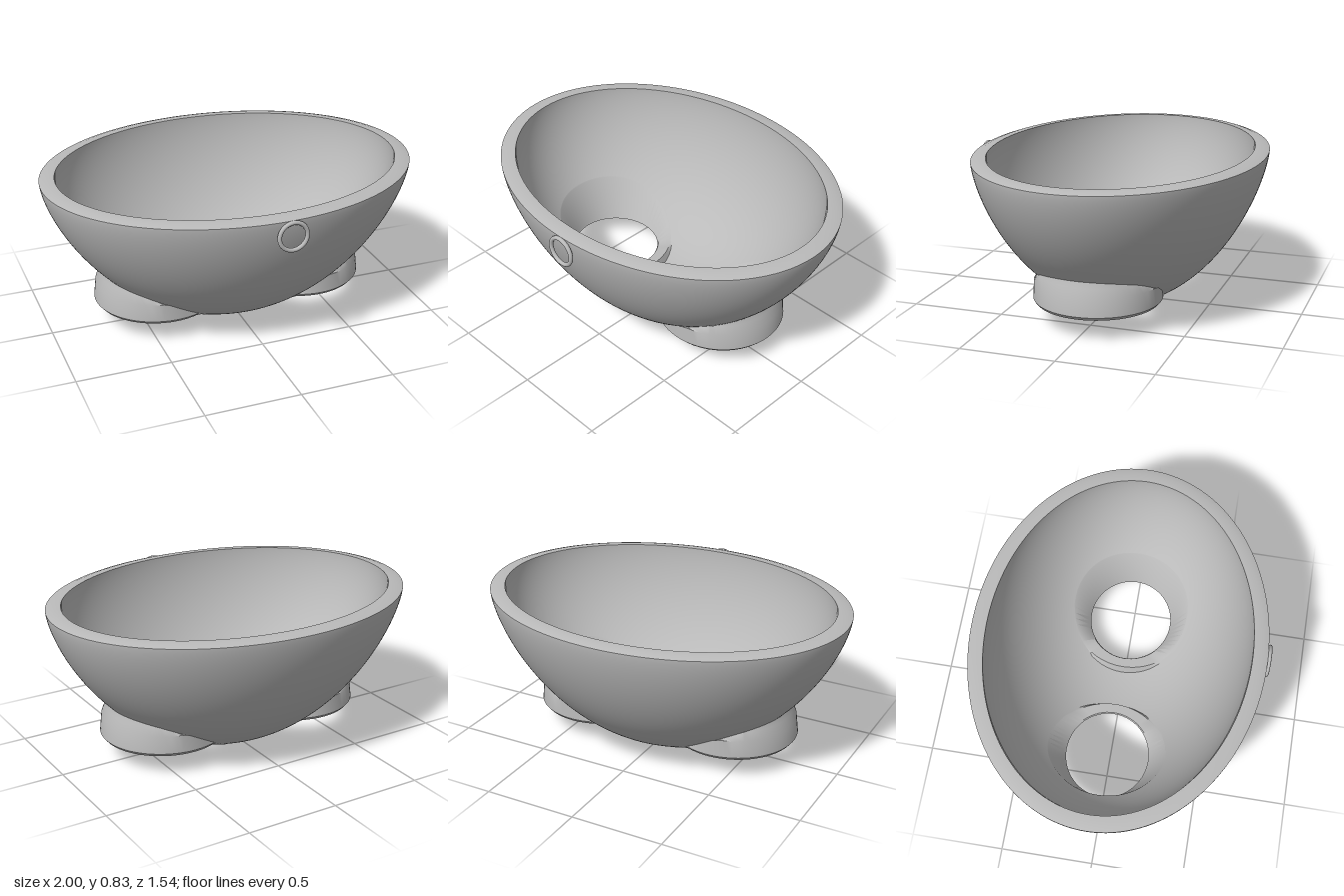
import * as THREE from 'three';
import { toCreasedNormals } from 'three/addons/utils/BufferGeometryUtils.js';

const CZ = -0.012;                  // bowl centre in z
const HOLE_X = 0.41;                // openings sit at +-HOLE_X
const CUT_X = 0.3, CUT_Z = 0.322;   // half sizes of the openings in the shell

// An elliptical bowl skin: height as a function of plan position
function skin(rx, rz, base, top, power) {
  const height = (x, z) => {
    const rho = Math.min(1, Math.hypot(x / rx, (z - CZ) / rz));
    return base + (top - base) * (1 - Math.pow(1 - Math.pow(rho, 2.1), power));
  };
  return { rx, rz, height };
}
const outer = skin(1, 0.763, 0, 0.82, 0.7);
const inner = skin(0.92, 0.685, 0.07, 0.833, 0.6);

// Closed surface around an axis; point(i, angle) gives [x, y, z, dropped]
function loft(rows, cols, point, flip = false) {
  const pos = [], dropped = [], index = [];
  for (let i = 0; i < rows; i++) {
    for (let j = 0; j < cols; j++) {
      const [x, y, z, d] = point(i, (j / cols) * Math.PI * 2);
      pos.push(x, y, z);
      dropped.push(!!d);
    }
  }
  const tri = (a, b, c) => {
    if (dropped[a] && dropped[b] && dropped[c]) return;
    if (flip) index.push(a, c, b);
    else index.push(a, b, c);
  };
  for (let i = 0; i < rows - 1; i++) {
    for (let j = 0; j < cols; j++) {
      const k = (j + 1) % cols;
      const a = i * cols + j, b = (i + 1) * cols + j;
      const c = (i + 1) * cols + k, d = i * cols + k;
      tri(a, b, c);
      tri(a, c, d);
    }
  }
  const geo = new THREE.BufferGeometry();
  geo.setAttribute('position', new THREE.Float32BufferAttribute(pos, 3));
  geo.setIndex(index);
  geo.computeVertexNormals();
  return geo;
}

// Bowl skin with two openings; points inside one move to its edge
function bowlSkin(s, flip) {
  const rows = 72;
  return loft(rows, 144, (i, a) => {
    const rho = Math.sin((i / (rows - 1)) * Math.PI / 2);
    let x = s.rx * rho * Math.cos(a), z = CZ + s.rz * rho * Math.sin(a);
    const hx = x < 0 ? -HOLE_X : HOLE_X;
    const d = Math.hypot((x - hx) / CUT_X, (z - CZ) / CUT_Z);
    const inside = d < 1;
    if (inside) {
      const k = 1 / Math.max(d, 1e-5);
      x = hx + (x - hx) * k;
      z = CZ + (z - CZ) * k;
    }
    return [x, s.height(x, z), z, inside];
  }, flip);
}

// Collar round one opening, from the inner lip, under, and up the outside
function collarGeometry(side) {
  const under = y => (x, z) => Math.max(0, Math.min(y, outer.height(x, z) - 0.002));
  const profile = [   // half size in x, half size in z, height rule
    [CUT_X + 0.012, CUT_Z + 0.012, (x, z) => inner.height(x, z) - 0.004],
    [CUT_X - 0.004, CUT_Z - 0.004, (x, z) => Math.max(0.125, inner.height(x, z))],
    [0.245, 0.235, () => 0.125],
    [0.24, 0.228, () => 0.115],
    [0.285, 0.295, under(0.115)],
    [0.325, 0.32, under(0.117)],
    [0.34, 0.335, under(0.135)],
    [0.328, 0.332, (x, z) => Math.min(0.23, outer.height(x, z))],
    [0.308, 0.32, (x, z) => Math.min(0.275, outer.height(x, z))],
    [CUT_X - 0.002, CUT_Z - 0.002, (x, z) => outer.height(x, z) + 0.004],
  ];
  return loft(profile.length, 64, (i, a) => {
    const [rx, rz, y] = profile[i];
    const x = side * HOLE_X + rx * Math.cos(a);
    const z = CZ + rz * Math.sin(a);
    return [x, y(x, z), z];
  });
}

export function createModel() {
  const group = new THREE.Group();
  const grey = new THREE.MeshStandardMaterial({ color: 0xbababa, side: THREE.DoubleSide });
  grey.name = 'grey';
  const add = (name, geo) => {
    const mesh = new THREE.Mesh(geo, grey);
    mesh.name = name;
    group.add(mesh);
    return mesh;
  };

  // Bowl shell
  add('bowlOutside', bowlSkin(outer, false));
  add('bowlInside', bowlSkin(inner, true));

  // Bevelled rim joining both skins
  const rim = [[1, 0.763, 0.82], [0.965, 0.73, 0.831], [0.92, 0.685, 0.833]];
  add('rim', toCreasedNormals(loft(rim.length, 144, (i, a) => {
    const [rx, rz, y] = rim[i];
    return [rx * Math.cos(a), y, CZ + rz * Math.sin(a)];
  }), 0.6));

  // Collars under the two openings
  add('leftCollar', toCreasedNormals(collarGeometry(1), 0.7));
  add('rightCollar', toCreasedNormals(collarGeometry(-1), 0.7));

  // Small ring on the front
  const ring = add('frontRing', new THREE.TorusGeometry(0.073, 0.011, 12, 48));
  ring.position.set(0.045, 0.74, 0.758);

  return group;
}
